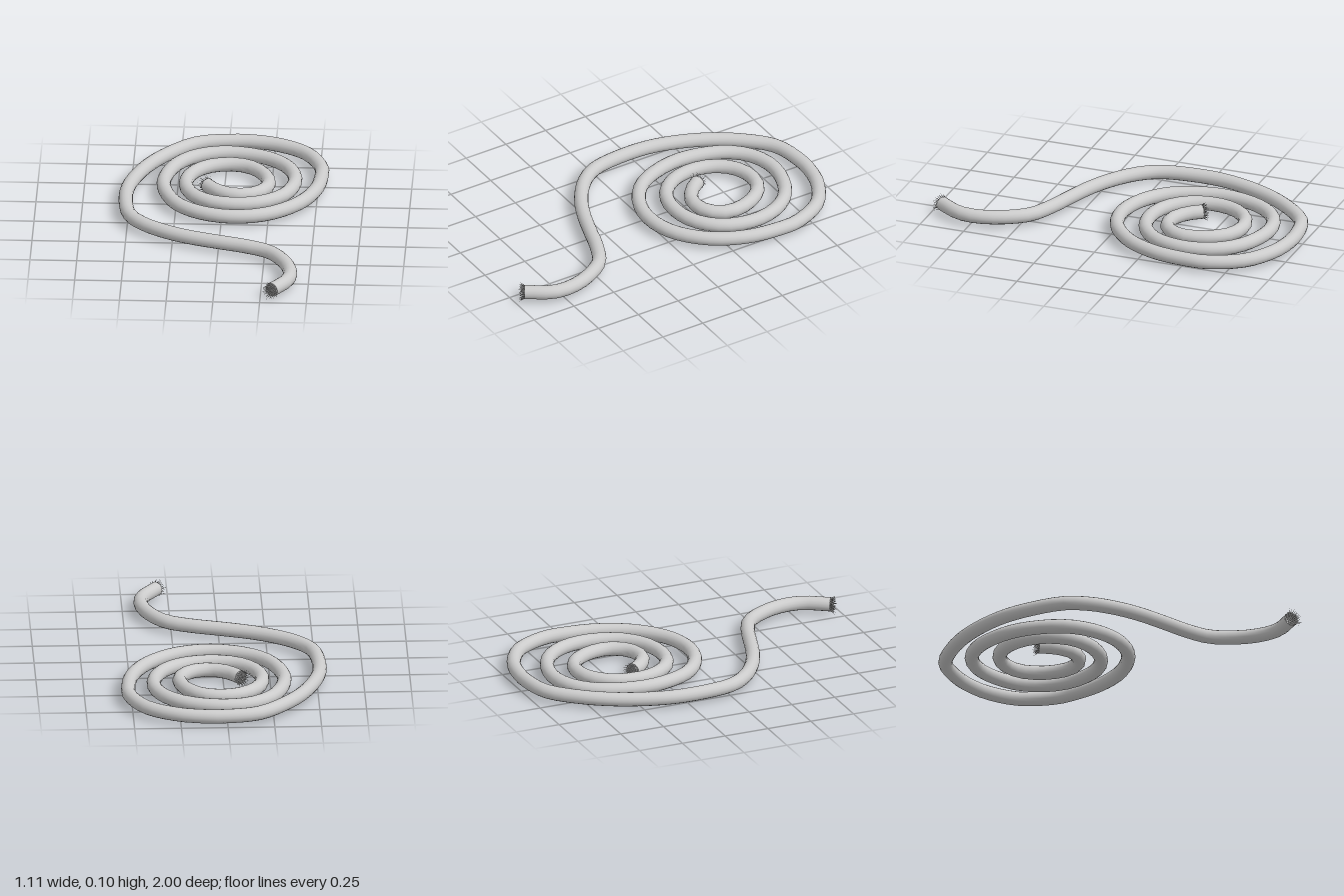
import * as THREE from 'three';

const RADIUS = 0.038;
const HEIGHT = 0.056;

// Rope centre line on the ground plane, [x, z], from the inner end outwards
const PATH = [
  [-0.09, -0.39], [-0.035, -0.32], [0.06, -0.27], [0.165, -0.29], [0.23, -0.37], [0.235, -0.46],
  [0.195, -0.565], [0.12, -0.64], [0.02, -0.665], [-0.09, -0.635], [-0.175, -0.545], [-0.205, -0.41],
  [-0.17, -0.28], [-0.075, -0.185], [0.065, -0.15], [0.215, -0.185], [0.33, -0.29], [0.378, -0.465],
  [0.34, -0.625], [0.23, -0.745], [0.02, -0.812], [-0.145, -0.775], [-0.26, -0.66], [-0.322, -0.45],
  [-0.305, -0.29], [-0.23, -0.13], [-0.1, -0.03], [0.065, 0.01], [0.24, -0.03], [0.4, -0.165],
  [0.49, -0.345], [0.516, -0.53], [0.51, -0.645], [0.42, -0.825], [0.26, -0.93], [0.125, -0.963],
  [0.03, -0.967], [-0.16, -0.93], [-0.3, -0.805], [-0.42, -0.625], [-0.505, -0.38], [-0.517, -0.185],
  [-0.485, 0.015], [-0.405, 0.127], [-0.28, 0.222], [-0.155, 0.285], [0, 0.34], [0.15, 0.39],
  [0.28, 0.458], [0.372, 0.6], [0.402, 0.725], [0.39, 0.82], [0.312, 0.945],
];

// Small seeded generator for the loose fibres
function seeded(seed) {
  return () => {
    seed = (seed * 16807) % 2147483647;
    return seed / 2147483647;
  };
}

// Cap and splayed fibres at a rope end; local +y points out of the rope
function makeEnd(name, position, direction, material, seed) {
  const end = new THREE.Group();
  end.name = name;
  const cap = new THREE.Mesh(new THREE.CircleGeometry(RADIUS, 16).rotateX(-Math.PI / 2), material);
  cap.name = name + 'Cap';
  end.add(cap);

  const random = seeded(seed);
  const up = new THREE.Vector3(0, 1, 0);
  const count = 60;
  for (let i = 0; i < count; i++) {
    const spread = Math.sqrt((i + 0.5) / count);
    const angle = i * 2.39996;
    const radial = new THREE.Vector3(Math.cos(angle), 0, Math.sin(angle));
    const length = 0.027 + 0.008 * random();
    const tilt = spread * (0.5 + 0.25 * random());
    const fibre = new THREE.Mesh(new THREE.ConeGeometry(0.0022, length, 4).translate(0, length / 2, 0), material);
    fibre.name = name + 'Fibre';
    fibre.position.copy(radial).multiplyScalar(RADIUS * 0.95 * spread);
    const aim = radial.multiplyScalar(Math.sin(tilt)).addScaledVector(up, Math.cos(tilt));
    fibre.quaternion.setFromUnitVectors(up, aim);
    end.add(fibre);
  }
  end.position.copy(position);
  end.quaternion.setFromUnitVectors(up, direction);
  return end;
}

export function createModel() {
  const model = new THREE.Group();
  model.name = 'coiledRope';
  const material = new THREE.MeshStandardMaterial({ color: 0xcccccc });

  // Coiled rope with a trailing tail
  const curve = new THREE.CatmullRomCurve3(PATH.map(([x, z]) => new THREE.Vector3(x, HEIGHT, z)));
  curve.arcLengthDivisions = 800;
  const rope = new THREE.Mesh(new THREE.TubeGeometry(curve, 140, RADIUS, 16, false), material);
  rope.name = 'rope';
  model.add(rope);

  // Frayed ends
  model.add(makeEnd('innerFray', curve.getPointAt(0), curve.getTangentAt(0).negate(), material, 7));
  model.add(makeEnd('tailFray', curve.getPointAt(1), curve.getTangentAt(1), material, 41));
  return model;
}
